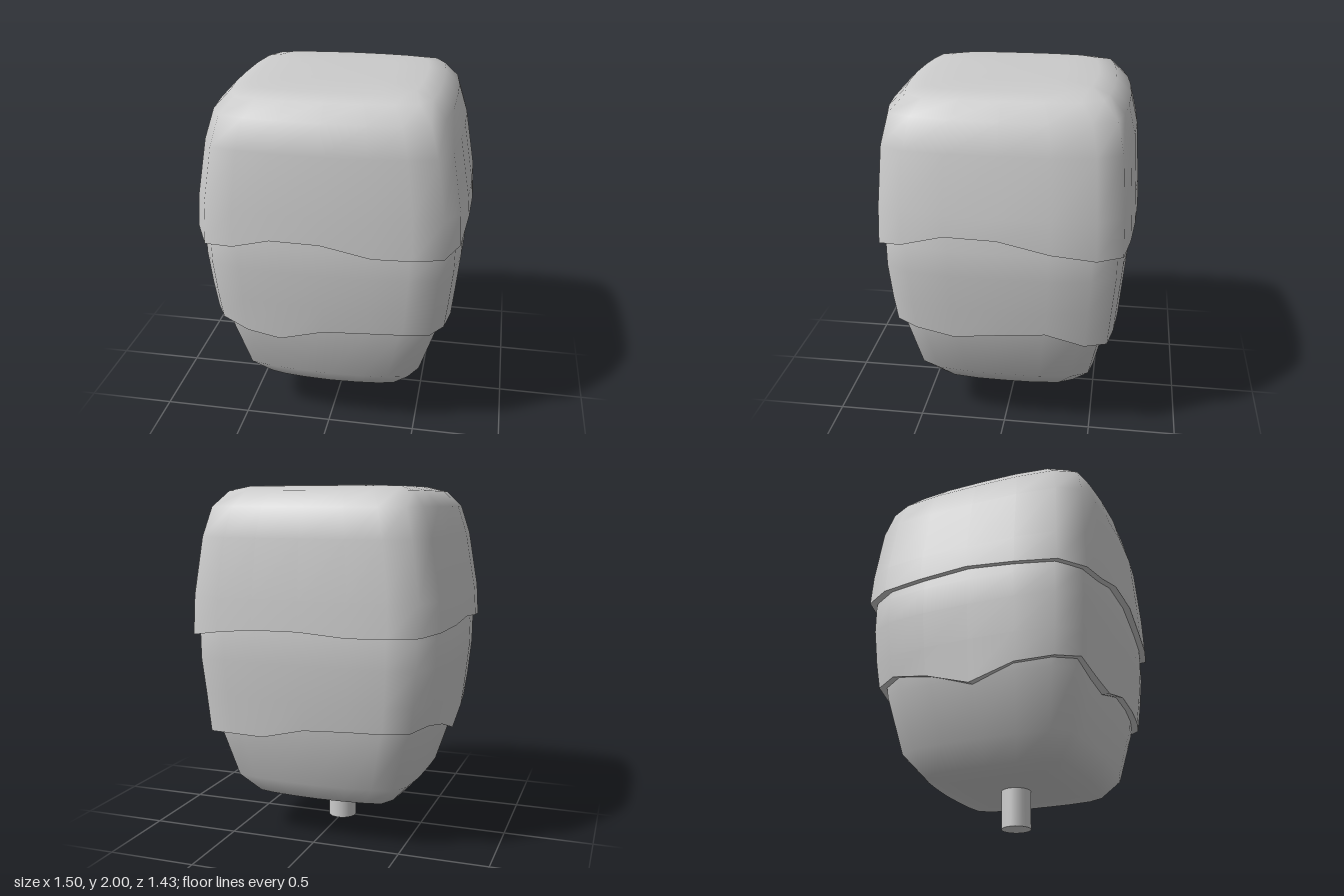
import * as THREE from 'three';

// One quadrant of the rounded-square section, as fractions of the half widths
const QUADRANT = [[1, 0], [0.993, 0.39], [0.955, 0.72], [0.855, 0.91], [0.64, 0.957], [0.36, 0.986]];
const TURN = [[1, 0, 0, 1], [-1, 0, 0, 1], [-1, 0, 0, -1], [1, 0, 0, -1]];

// Full section: mirror the quadrant, running from +x through +z, -x and -z
const SECTION = [];
TURN.forEach(([sx, , , sz], q) => {
  const pts = [...QUADRANT, [0, 1]];
  if (q % 2) pts.reverse();
  pts.slice(0, 6).forEach(([x, z]) => SECTION.push([sx * x, sz * z]));
});
const N = SECTION.length;

// Skin over rings [halfWidth, halfDepth, y], top to bottom; y may be a list with one height per point
function loft(name, rings, material) {
  const pos = [], index = [];
  rings.forEach(([w, d, y], r) => {
    SECTION.forEach(([x, z], k) => {
      pos.push(x * w, Array.isArray(y) ? y[k] : y, z * d);
      if (r === rings.length - 1) return;
      const a = r * N + k, b = r * N + (k + 1) % N;
      index.push(a, b, b + N, a, b + N, a + N);
    });
  });
  const g = new THREE.BufferGeometry();
  g.setAttribute('position', new THREE.Float32BufferAttribute(pos, 3));
  g.setIndex(index);
  g.computeVertexNormals();
  const mesh = new THREE.Mesh(g, material);
  mesh.name = name;
  return mesh;
}

// A coating layer: smooth shell ending in a wavy rim, with a sharp lip turned inward beneath
function layer(name, rings, rim, material) {
  const group = new THREE.Group();
  group.name = name;
  const [w, d, heights] = rim;
  const inner = [w * 0.92, d * 0.92, heights.map((y) => y + 0.01)];
  group.add(loft(name + 'Shell', [...rings, rim], material), loft(name + 'Lip', [rim, inner], material));
  return group;
}

export function createModel() {
  const model = new THREE.Group();
  model.name = 'dippedIceBar';
  const mat = new THREE.MeshStandardMaterial({ color: 0xcccccc, side: THREE.DoubleSide });

  // Wavy rim heights around the section
  const topWave = [1.285, 1.29, 1.22, 1.19, 1.185, 1.19, 1.25, 1.25, 1.19, 1.18, 1.22, 1.24,
    1.267, 1.25, 1.24, 1.226, 1.22, 1.215, 1.237, 1.233, 1.21, 1.185, 1.185, 1.22];
  const middleWave = [0.69, 0.66, 0.69, 0.7, 0.7, 0.7, 0.69, 0.62, 0.645, 0.7, 0.7, 0.69,
    0.61, 0.69, 0.73, 0.71, 0.7, 0.7, 0.69, 0.63, 0.63, 0.625, 0.64, 0.71];

  // Top coating with a gently domed crown
  model.add(layer('topLayer', [
    [0, 0, 2], [0.28, 0.28, 1.997], [0.46, 0.46, 1.99], [0.555, 0.56, 1.965],
    [0.635, 0.645, 1.88], [0.685, 0.685, 1.72], [0.74, 0.707, 1.4],
  ], [0.75, 0.715, topWave], mat));

  // Middle coating, tucked under the top one
  model.add(layer('middleLayer', [
    [0.69, 0.66, 1.4], [0.722, 0.68, 1.2], [0.72, 0.68, 1.05], [0.7, 0.662, 0.85],
  ], [0.68, 0.643, middleWave], mat));

  // Exposed lower body with a rounded base
  model.add(loft('lowerBody', [
    [0.66, 0.62, 0.82], [0.64, 0.6, 0.66], [0.538, 0.532, 0.35],
    [0.43, 0.43, 0.235], [0.25, 0.25, 0.217], [0, 0, 0.215],
  ], mat));

  // Stick
  const stick = new THREE.Mesh(new THREE.CylinderGeometry(0.083, 0.083, 0.3, 24), mat);
  stick.name = 'stick';
  stick.position.y = 0.15;
  model.add(stick);
  return model;
}
